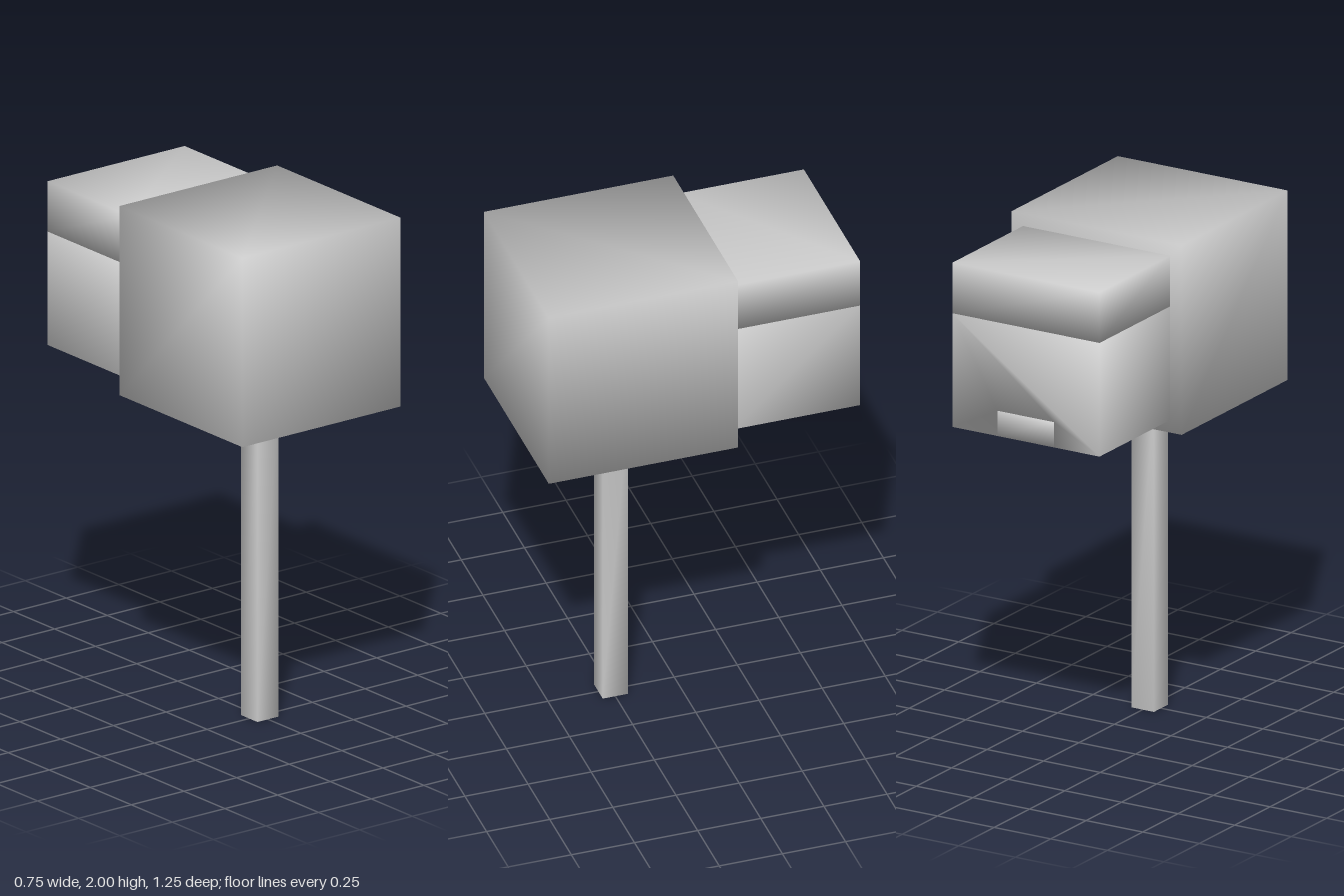
import * as THREE from 'three';
import { mergeVertices } from 'three/addons/utils/BufferGeometryUtils.js';

// Weld all corners so the normals run smoothly over every edge
function smooth(geometry) {
  geometry.deleteAttribute('normal');
  geometry.deleteAttribute('uv');
  const welded = mergeVertices(geometry, 1e-4);
  welded.computeVertexNormals();
  return welded;
}

export function createModel() {
  const model = new THREE.Group();
  const material = new THREE.MeshStandardMaterial({ color: 0xcccccc });

  function add(name, geometry) {
    const mesh = new THREE.Mesh(smooth(geometry), material);
    mesh.name = name;
    model.add(mesh);
  }

  // Box given by its half width and its y and z ranges
  function addBox(name, halfX, y0, y1, z0, z1) {
    const box = new THREE.BoxGeometry(2 * halfX, y1 - y0, z1 - z0);
    add(name, box.translate(0, (y0 + y1) / 2, (z0 + z1) / 2));
  }

  addBox('pole', 0.05, 0, 1.25, 0.2, 0.3);
  addBox('head', 0.375, 1.25, 2, -0.125, 0.625);
  addBox('rearLid', 0.325, 1.75, 1.95, -0.625, -0.125);

  // Rear body with a channel along its underside
  const profile = new THREE.Shape([
    [-0.325, 1.3], [-0.125, 1.3], [-0.125, 1.4], [0.125, 1.4],
    [0.125, 1.3], [0.325, 1.3], [0.325, 1.75], [-0.325, 1.75],
  ].map(([x, y]) => new THREE.Vector2(x, y)));
  const body = new THREE.ExtrudeGeometry(profile, { depth: 0.5, bevelEnabled: false });
  add('rearBody', body.translate(0, 0, -0.625));

  // Insert filling the channel
  addBox('rearInsert', 0.125, 1.3, 1.4, -0.625, -0.125);

  return model;
}
